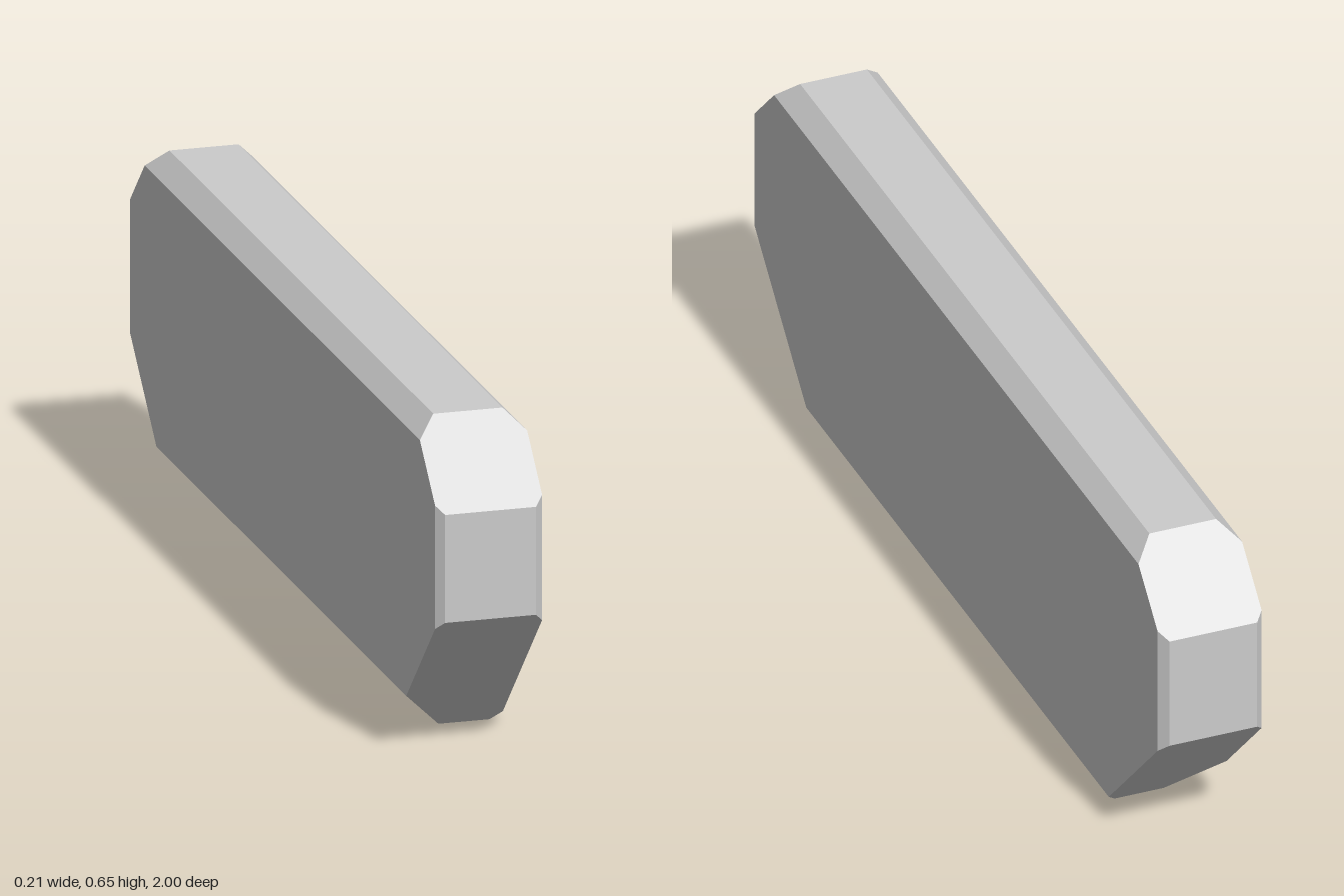
import * as THREE from 'three';
import { ConvexGeometry } from 'three/addons/geometries/ConvexGeometry.js';

// Half-extents and height of the bar
const W = 0.104, H = 0.65, L = 1;

// Each row is a cutting plane: nx*x + ny*y + nz*z <= d
const planes = [
  // main faces
  [1, 0, 0, W], [-1, 0, 0, W],
  [0, 1, 0, H], [0, -1, 0, 0],
  [0, 0, 1, L], [0, 0, -1, L],
  // bevels along the top edges
  [1, 1, 0, H + 0.067], [-1, 1, 0, H + 0.067],
  // bevels along the bottom edges, wider on the right
  [1, -1, 0, 0.084], [-1, -1, 0, 0.015],
  // sloped cuts at the front and back ends
  [0, 1, 1, L + 0.5], [0, 1, -1, L + 0.503],
  [0, -1, 1, 0.71], [0, -1, -1, 0.725],
  // narrow bevels on the upright end edges
  [1, 0, 1, L + 0.087], [-1, 0, 1, L + 0.089],
  [1, 0, -1, L + 0.087], [-1, 0, -1, L + 0.089],
].map(([x, y, z, d]) => ({ n: new THREE.Vector3(x, y, z), d }));

// Corners of the solid: every meeting point of three planes that lies inside all others
function corners(list) {
  const points = [];
  const cross = (a, b) => new THREE.Vector3().crossVectors(a.n, b.n);
  for (let i = 0; i < list.length; i++)
    for (let j = i + 1; j < list.length; j++)
      for (let k = j + 1; k < list.length; k++) {
        const [a, b, c] = [list[i], list[j], list[k]];
        const det = a.n.dot(cross(b, c));
        if (Math.abs(det) < 1e-6) continue;
        const p = cross(b, c).multiplyScalar(a.d)
          .addScaledVector(cross(c, a), b.d)
          .addScaledVector(cross(a, b), c.d)
          .divideScalar(det);
        const inside = list.every((q) => q.n.dot(p) <= q.d + 1e-6);
        if (inside && !points.some((q) => q.distanceTo(p) < 1e-5)) points.push(p);
      }
  return points;
}

export function createModel() {
  const group = new THREE.Group();
  group.name = 'bevelledBar';
  const body = new THREE.Mesh(
    new ConvexGeometry(corners(planes)),
    new THREE.MeshStandardMaterial({ color: 0xcccccc, flatShading: true }),
  );
  body.name = 'body';
  group.add(body);
  return group;
}
